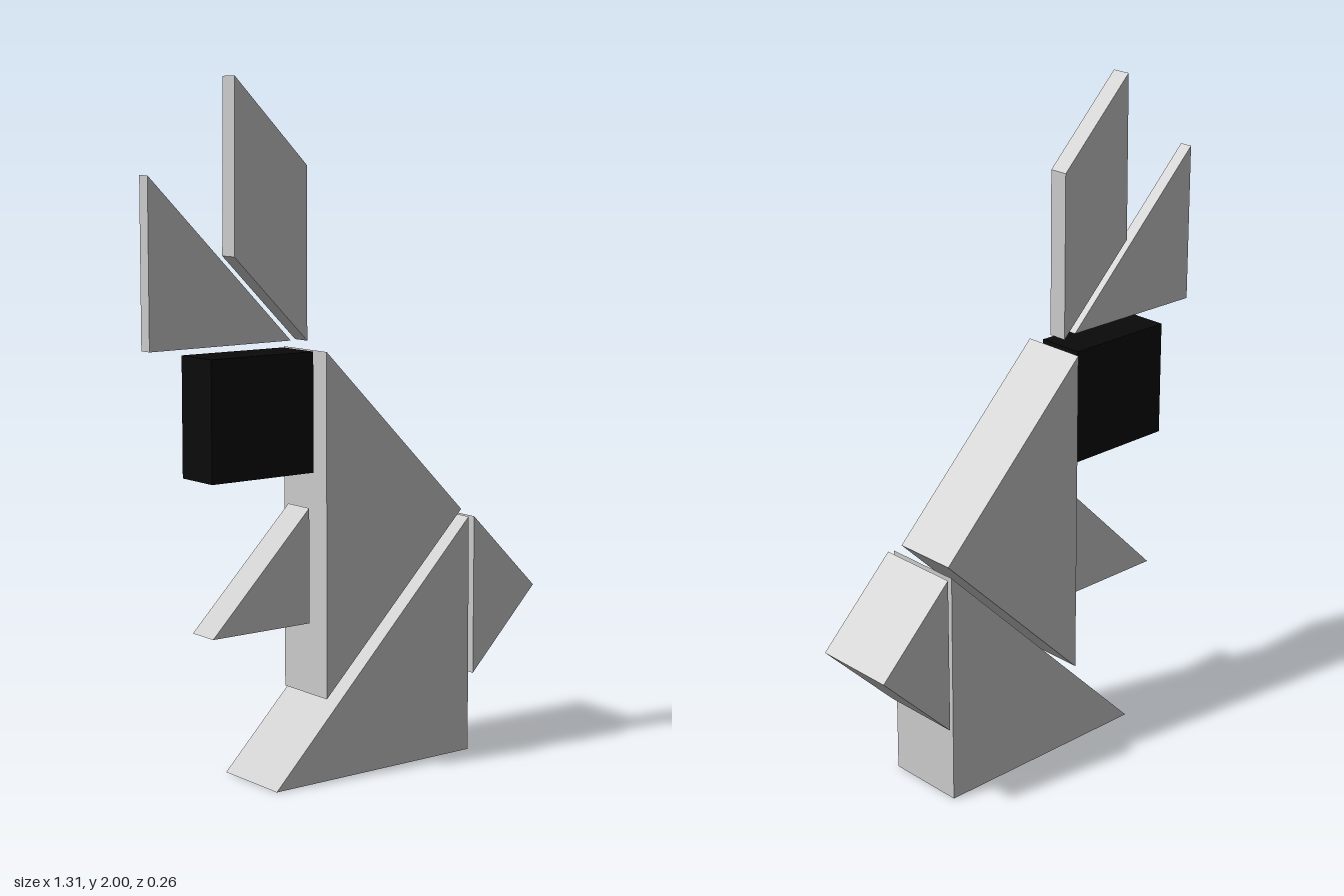
import * as THREE from 'three';

const grey = new THREE.MeshStandardMaterial({ color: 0xcccccc, flatShading: true });
const black = new THREE.MeshStandardMaterial({ color: 0x0a0a0a, flatShading: true });

// Flat polygon in the xy plane, extruded from zBack to zFront
function slab(name, corners, zBack, zFront, material = grey) {
  const shape = new THREE.Shape(corners.map(([x, y]) => new THREE.Vector2(x, y)));
  const geometry = new THREE.ExtrudeGeometry(shape, { depth: zFront - zBack, bevelEnabled: false });
  geometry.translate(0, 0, zBack);
  const mesh = new THREE.Mesh(geometry, material);
  mesh.name = name;
  return mesh;
}

export function createModel() {
  const model = new THREE.Group();
  model.name = 'tangramRabbit';
  model.add(
    // Ears
    slab('rearEar', [[-0.38, 1.508], [-0.13, 1.262], [-0.13, 1.755], [-0.375, 2]], -0.031, 0.027),
    slab('frontEar', [[-0.655, 1.262], [-0.182, 1.265], [-0.655, 1.735]], -0.021, 0.019),
    // Head
    slab('head', [[-0.488, 0.89], [-0.14, 0.89], [-0.14, 1.235], [-0.488, 1.235]], -0.076, 0.068, black),
    // Torso and front paw
    slab('torso', [[-0.117, 0.233], [0.387, 0.733], [-0.117, 1.235]], -0.101, 0.1),
    slab('frontPaw', [[-0.475, 0.45], [-0.14, 0.45], [-0.14, 0.785]], -0.052, 0.048),
    // Haunch and tail
    slab('haunch', [[-0.313, 0], [0.4, 0], [0.397, 0.712]], -0.126, 0.123),
    slab('tail', [[0.414, 0.234], [0.655, 0.474], [0.414, 0.712]], -0.13, 0.128),
  );
  return model;
}
